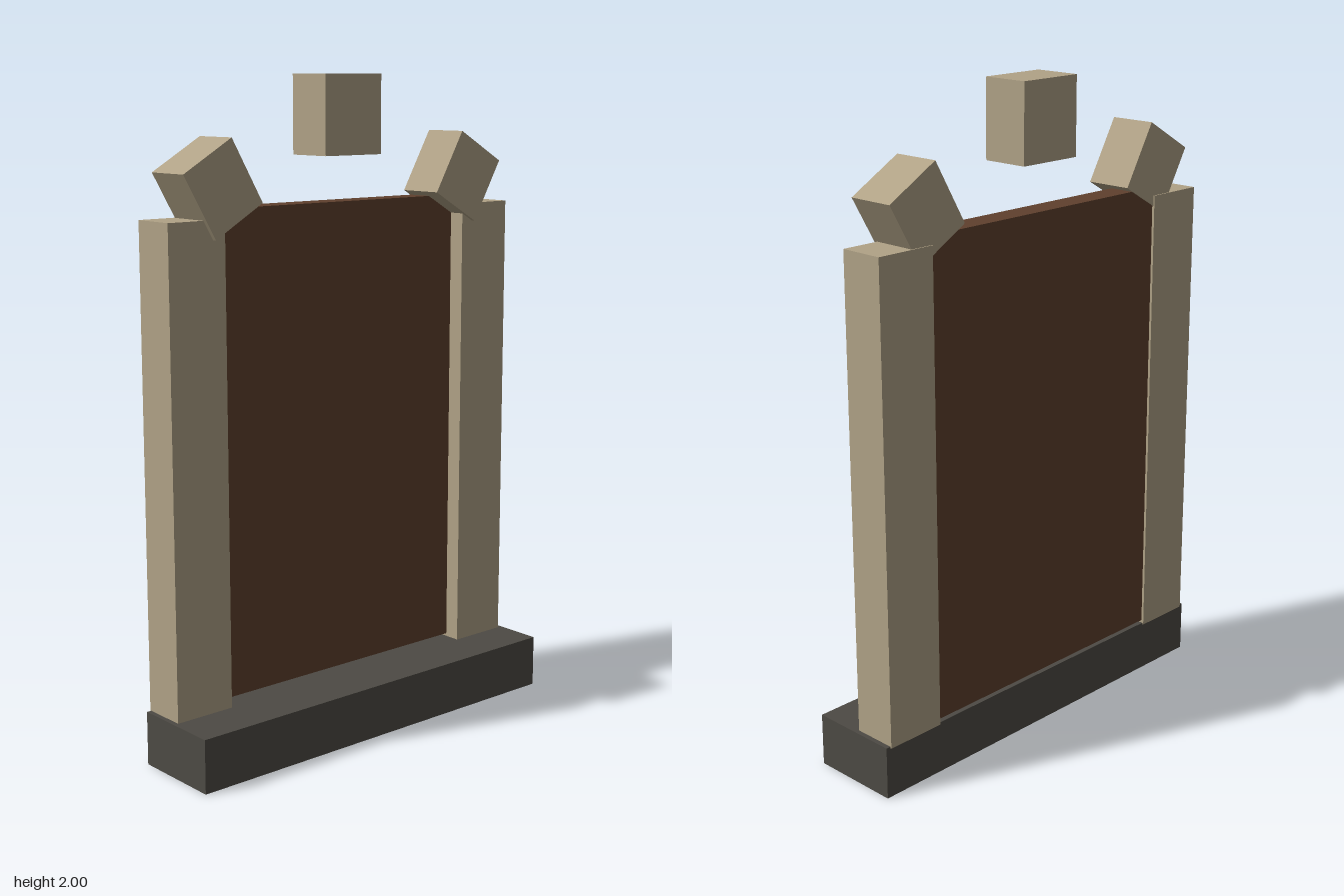
import * as THREE from 'three';

const stone = new THREE.MeshStandardMaterial({ color: 0xb0a286 });
stone.name = 'sandstone';
const slate = new THREE.MeshStandardMaterial({ color: 0x4d4a44 });
slate.name = 'darkStone';
const wood = new THREE.MeshStandardMaterial({ color: 0x5f402d });
wood.name = 'brownWood';

export function createModel() {
  const group = new THREE.Group();
  group.name = 'doorway';

  // Box given by its centre in x and y, its size, and its back and front z
  function block(name, material, x, y, w, h, back, front, tilt = 0) {
    const mesh = new THREE.Mesh(new THREE.BoxGeometry(w, h, front - back), material);
    mesh.name = name;
    mesh.position.set(x, y, (back + front) / 2);
    mesh.rotation.z = tilt;
    group.add(mesh);
  }

  // Doorstep and door leaf, with a narrow gap between them
  block('doorstep', slate, 0, 0.0815, 1.35, 0.163, -0.143, 0.143);
  block('door', wood, 0, 0.8985, 0.934, 1.453, -0.139, -0.058);

  // Pillars and the tilted arch stones above them
  for (const side of [-1, 1]) {
    const prefix = side > 0 ? 'left' : 'right';
    block(prefix + 'Pillar', stone, side * 0.563, 0.879, 0.194, 1.442, -0.147, -0.007);
    block(prefix + 'ArchStone', stone, side * 0.478, 1.685, 0.192, 0.214, -0.143, 0.006, -side * Math.PI / 6);
  }

  // Floating keystone
  block('keystone', stone, 0, 1.882, 0.216, 0.236, -0.143, 0.006);

  return group;
}
